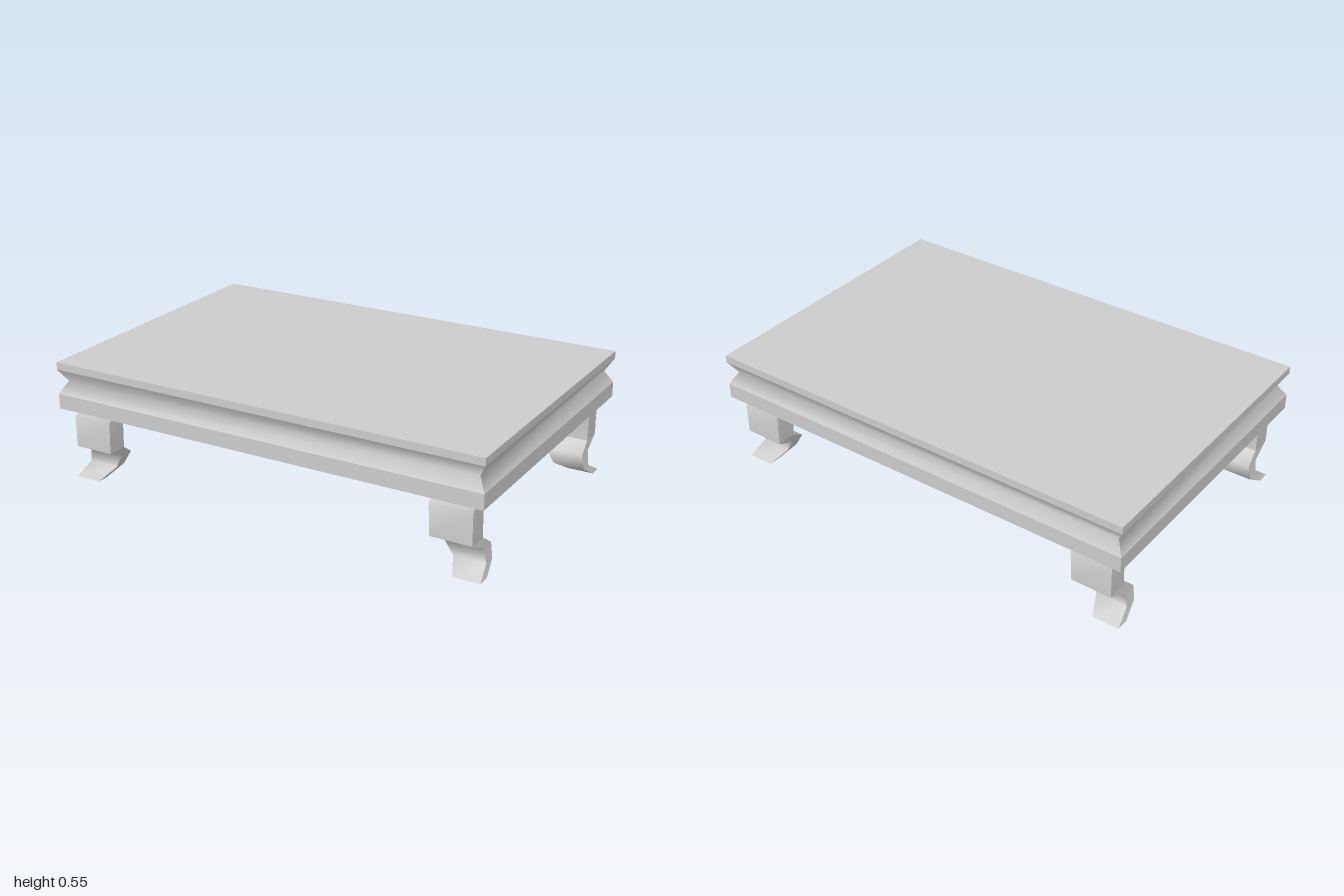
import * as THREE from 'three';
import { mergeGeometries } from 'three/addons/utils/BufferGeometryUtils.js';

const material = new THREE.MeshStandardMaterial({ color: 0xcccccc });

// Smooth strip between two polylines; seen from outside a is left, b is right, both run downwards
function ribbon(a, b) {
  const index = [];
  const n = a.length;
  for (let i = 0; i < n - 1; i++) {
    index.push(i, i + 1, n + i, n + i, i + 1, n + i + 1);
  }
  const geometry = new THREE.BufferGeometry();
  geometry.setAttribute('position', new THREE.Float32BufferAttribute([...a, ...b].flat(), 3));
  geometry.setIndex(index);
  geometry.computeVertexNormals();
  return geometry;
}

// Skin a stack of four-cornered sections; "bands" are row ranges that shade smoothly
function skin(corners, bands, mirrored = false) {
  const strip = (a, b) => (mirrored ? ribbon(b, a) : ribbon(a, b));
  const parts = [];
  for (let k = 0; k < 4; k++) {
    const a = corners[k], b = corners[(k + 1) % 4];
    for (const [from, to] of bands) {
      parts.push(strip(a.slice(from, to + 1), b.slice(from, to + 1)));
    }
  }
  // top and bottom caps
  const [p, q, r, s] = corners;
  const end = p.length - 1;
  parts.push(strip([s[0], p[0]], [r[0], q[0]]));
  parts.push(strip([p[end], s[end]], [q[end], r[end]]));
  return mergeGeometries(parts);
}

// Table top: rectangular slab with a V-shaped groove around its edge
function tableTop() {
  const profile = [[0.545, 0], [0.512, 0], [0.457, 0.033], [0.402, 0], [0.335, 0]]; // y, inset
  const corner = (sx, sz) => profile.map(([y, d]) => [sx * (1 - d), y, sz * (0.667 - d)]);
  const corners = [corner(-1, 1), corner(1, 1), corner(1, -1), corner(-1, -1)];
  const mesh = new THREE.Mesh(skin(corners, [[0, 1], [1, 3], [3, 4]]), material);
  mesh.name = 'tableTop';
  return mesh;
}

// Leg: S-curved bracket whose foot narrows and flares outwards
function leg(sx, sz) {
  // y, z outside, z inside, x inside, x outside
  const rows = [
    [0.335, 0.59, 0.505, 0.77, 0.937],
    [0.296, 0.635, 0.543, 0.76, 0.945],
    [0.158, 0.633, 0.541, 0.765, 0.945],
    [0.112, 0.54, 0.475, 0.782, 0.951],
    [0.047, 0.533, 0.479, 0.82, 0.961],
    [0, 0.614, 0.557, 0.858, 0.976],
  ];
  const corner = (x, z) => rows.map((row) => [sx * row[x], row[0], sz * row[z]]);
  const corners = [corner(3, 1), corner(4, 1), corner(4, 2), corner(3, 2)];
  const geometry = skin(corners, [[0, 2], [2, 5]], sx * sz < 0);
  const mesh = new THREE.Mesh(geometry, material);
  mesh.name = (sz > 0 ? 'front' : 'back') + (sx > 0 ? 'Left' : 'Right') + 'Leg';
  return mesh;
}

export function createModel() {
  const table = new THREE.Group();
  table.name = 'lowTable';
  table.add(tableTop());
  for (const sx of [-1, 1]) {
    for (const sz of [-1, 1]) table.add(leg(sx, sz));
  }
  return table;
}
